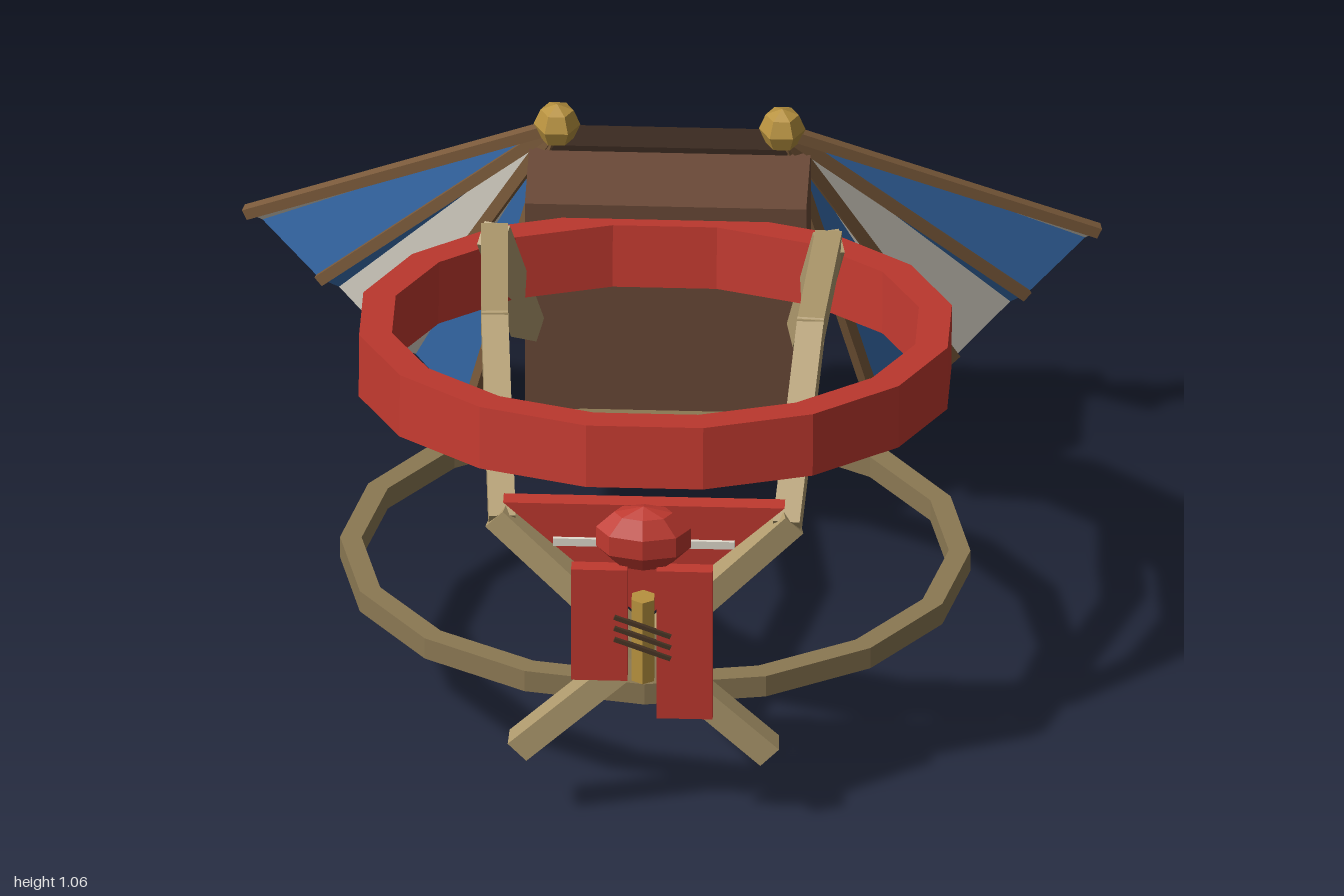
import * as THREE from 'three';

const mat = (color, side = THREE.FrontSide) =>
  new THREE.MeshStandardMaterial({ color, flatShading: true, side });
const M = {
  red: mat(0xc0392f), leather: mat(0x6b4a38), dark: mat(0x3b2a20), belt: mat(0x8b7853),
  strap: mat(0xb09b6e), gold: mat(0xb8923f), rib: mat(0x7d5c3c), cream: mat(0xe2dccf),
  cord: mat(0x4a3626),
  blueCloth: mat(0x3b74b8, THREE.DoubleSide), creamCloth: mat(0xe2dccf, THREE.DoubleSide),
};
const V = (x, y, z) => new THREE.Vector3(x, y, z);

export function createModel() {
  const model = new THREE.Group();

  const add = (name, geo, material, x = 0, y = 0, z = 0, parent = model) => {
    const m = new THREE.Mesh(geo, material);
    m.name = name;
    m.position.set(x, y, z);
    parent.add(m);
    return m;
  };
  const box = (name, w, h, d, material, x, y, z, parent) =>
    add(name, new THREE.BoxGeometry(w, h, d), material, x, y, z, parent);

  // square bar between two points, lengthened a little at both ends
  const bar = (name, a, b, size, material, extra = 0, parent = model) => {
    const mid = a.clone().add(b).multiplyScalar(0.5);
    const m = box(name, size, size, a.distanceTo(b) + extra, material, mid.x, mid.y, mid.z, parent);
    m.lookAt(b);
    return m;
  };

  // flat elliptical band with 16 sides
  const band = (name, rx, rz, thick, height, turn, material, y, z) => {
    const loop = (a, b) => Array.from({ length: 16 }, (_, i) => {
      const t = (i + turn) * Math.PI / 8;
      return new THREE.Vector2(Math.cos(t) * a, Math.sin(t) * b);
    });
    const shape = new THREE.Shape(loop(rx, rz));
    shape.holes.push(new THREE.Path(loop(rx - thick, rz - thick)));
    const geo = new THREE.ExtrudeGeometry(shape, { depth: height, bevelEnabled: false });
    geo.translate(0, 0, -height / 2).rotateX(-Math.PI / 2);
    return add(name, geo, material, 0, y, z);
  };

  // backpack
  box('backpack', 0.65, 0.645, 0.255, M.leather, 0, 0.598, -0.497);
  box('backpackFlap', 0.545, 0.215, 0.09, M.dark, 0, 0.827, -0.648);
  add('clasp', new THREE.SphereGeometry(0.042, 6, 4), M.gold, 0, 0.735, -0.69);

  // rings around the wearer
  band('collarRing', 0.693, 0.622, 0.077, 0.155, 0.5, M.red, 0.889, 0.207).rotation.x = -0.143;
  band('belt', 0.728, 0.612, 0.05, 0.055, 0, M.belt, 0.338, 0.21);

  // harness straps, crossing on the chest
  for (const s of [1, -1]) {
    const g = new THREE.Group();
    g.name = s > 0 ? 'leftStrap' : 'rightStrap';
    model.add(g);
    const path = [
      V(0.32, 0.61, -0.34), V(0.385, 0.975, -0.13), V(0.365, 1.045, 0.35),
      V(0.33, 0.80, 0.80), V(0.03, 0.52, 0.86), V(-0.28, 0.22, 0.85),
    ].map((p) => p.setX(p.x * s));
    for (let i = 0; i < path.length - 1; i++)
      bar('strapSegment', path[i], path[i + 1], 0.062, M.strap, 0.03, g);
  }

  // neckerchief with knot, tails and peg
  const tri = new THREE.Shape([
    new THREE.Vector2(-0.325, 0.87), new THREE.Vector2(0, 0.56), new THREE.Vector2(0.325, 0.87)]);
  add('neckerchief', new THREE.ExtrudeGeometry(tri, { depth: 0.04, bevelEnabled: false }),
    M.red, 0, 0, 0.81);
  box('neckerchiefTrim', 0.42, 0.02, 0.012, M.cream, 0, 0.77, 0.852);
  add('knot', new THREE.SphereGeometry(1, 8, 5), M.red, 0, 0.80, 0.875).scale.set(0.115, 0.083, 0.066);
  box('rightTail', 0.13, 0.3, 0.035, M.red, -0.1, 0.59, 0.91);
  box('leftTail', 0.13, 0.4, 0.035, M.red, 0.097, 0.54, 0.91);
  add('peg', new THREE.CylinderGeometry(0.03, 0.03, 0.22, 6), M.gold, 0, 0.54, 0.895);
  for (let i = 0; i < 3; i++)
    bar('cordWrap', V(-0.065, 0.555 + i * 0.03, 0.93), V(0.065, 0.505 + i * 0.03, 0.93), 0.01, M.cord);

  // rope coil under the backpack: two staggered rows of blocks
  const coil = new THREE.Group();
  coil.name = 'ropeCoil';
  model.add(coil);
  for (let row = 0; row < 2; row++)
    for (let i = 0; i < 14; i++) {
      const t = (i + row / 2) * Math.PI / 7;
      const b = box('coilBlock', 0.09, 0.072, 0.075, M.strap,
        Math.sin(t) * (0.195 - row * 0.02), 0.238 + row * 0.07 + (i % 2) * 0.008,
        -0.595 + Math.cos(t) * (0.145 - row * 0.01), coil);
      b.rotation.y = t;
    }

  // pleated fan wings
  for (const s of [1, -1]) {
    const g = new THREE.Group();
    g.name = s > 0 ? 'leftWing' : 'rightWing';
    model.add(g);
    const root = V(0.26 * s, 0.99, -0.6);
    const edge = [];
    for (let i = 0; i < 4; i++) {
      edge.push(V((0.985 - i * 0.17) * s, 0.645 - i * 0.208, -0.745 - i * 0.049));
      if (i < 3) edge.push(V((0.95 - i * 0.175) * s, 0.57 - i * 0.21, -0.835 - i * 0.05));
    }
    const cloth = [0, 1, 1, 0, 0, 1];
    for (let i = 0; i < 6; i++) {
      const geo = new THREE.BufferGeometry().setFromPoints([root, edge[i], edge[i + 1]]);
      geo.computeVertexNormals();
      add('wingPanel', geo, cloth[i] ? M.blueCloth : M.creamCloth, 0, 0, 0, g);
    }
    for (let i = 0; i < 7; i += 2) bar('wingRib', root, edge[i], 0.027, M.rib, 0, g);
    add('wingKnob', new THREE.SphereGeometry(0.054, 6, 4), M.gold, root.x, 0.995, root.z, g);
  }

  return model;
}
